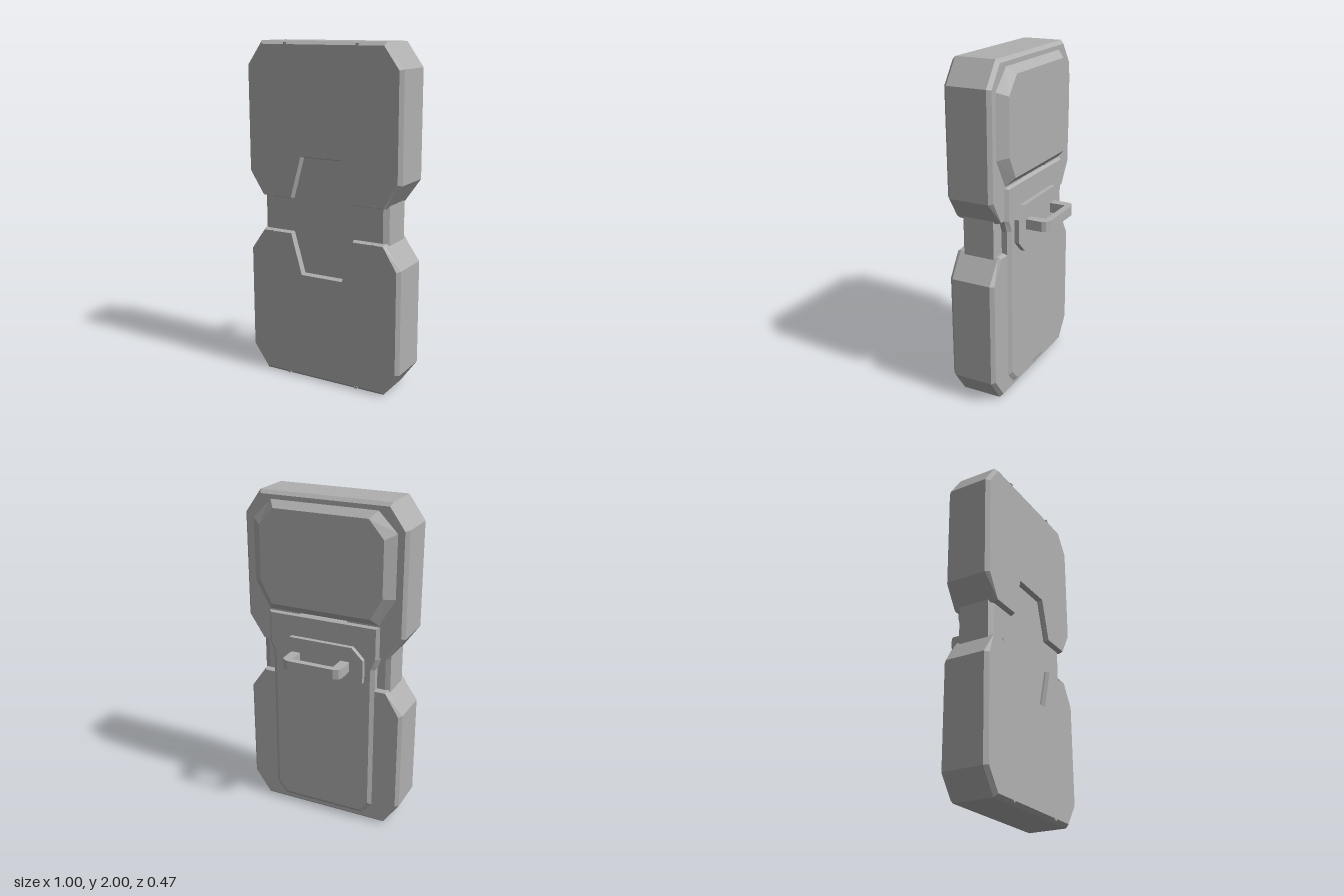
import * as THREE from 'three';

const shell = new THREE.MeshStandardMaterial({ color: 0xb0b0b0 });
shell.name = 'shell grey';

// Right half of an outline, bottom to top, closed by its mirror image
const mirror = (half) => [...half, ...half.map(([x, y]) => [-x, y]).reverse()];

// Chamfered rectangle: half width, bottom, top, corner width, corner height
const octagon = (w, y0, y1, cx, cy = cx) =>
  mirror([[w - cx, y0], [w, y0 + cy], [w, y1 - cy], [w - cx, y1]]);

// Flat-shaded solid through matching outlines, listed as [z, points] from back to front
function loft(name, sections) {
  const pos = [];
  const put = (z, p) => pos.push(p[0], p[1], z);
  for (let s = 0; s < sections.length - 1; s++) {
    const [z0, a] = sections[s], [z1, b] = sections[s + 1];
    a.forEach((p, i) => {
      const j = (i + 1) % a.length;
      put(z0, p); put(z0, a[j]); put(z1, b[j]);
      put(z0, p); put(z1, b[j]); put(z1, b[i]);
    });
  }
  const cap = ([z, pts], back) => {
    const faces = THREE.ShapeUtils.triangulateShape(pts.map((p) => new THREE.Vector2(...p)), []);
    for (const [a, b, c] of faces) (back ? [a, c, b] : [a, b, c]).forEach((i) => put(z, pts[i]));
  };
  cap(sections[0], true);
  cap(sections[sections.length - 1], false);
  const geo = new THREE.BufferGeometry();
  geo.setAttribute('position', new THREE.Float32BufferAttribute(pos, 3));
  geo.computeVertexNormals();
  const mesh = new THREE.Mesh(geo, shell);
  mesh.name = name;
  return mesh;
}

// Bevelled slab with a trapezoid notch in its lower edge
function notchedSlab(name) {
  const full = mirror([[0.13, 0.245], [0.2, 0], [0.4, 0], [0.5, 0.14], [0.5, 0.76], [0.4, 0.9]]);
  const inset = mirror([[0.136, 0.253], [0.206, 0.008], [0.395, 0.008], [0.48, 0.145], [0.48, 0.755], [0.39, 0.88]]);
  const group = new THREE.Group();
  group.name = name;
  group.add(loft(name + 'Body', [[-0.054, inset], [-0.033, full], [0.207, full], [0.229, inset]]));
  // Tiny studs along the front edges
  for (const [x, y] of [[0.335, 0.011], [-0.335, 0.011], [0.23, 0.885], [-0.23, 0.885]]) {
    const stud = new THREE.Mesh(new THREE.BoxGeometry(0.02, 0.012, 0.012), shell);
    stud.position.set(x, y, 0.225);
    stud.name = 'stud';
    group.add(stud);
  }
  return group;
}

export function createModel() {
  const model = new THREE.Group();
  model.name = 'doublePack';

  // Two mirrored slabs facing each other across the waist
  const upper = notchedSlab('upperSlab');
  upper.position.y = 1.1;
  const lower = notchedSlab('lowerSlab');
  lower.rotation.z = Math.PI;
  lower.position.y = 0.9;
  model.add(upper, lower);

  // Core visible at the waist and inside the notches
  const coreWide = octagon(0.41, 0.6, 1.4, 0.02);
  const coreFace = octagon(0.38, 0.6, 1.4, 0.02);
  model.add(loft('core', [[-0.02, coreFace], [-0.012, coreWide], [0.176, coreWide], [0.197, coreFace]]));

  // Raised panel on the upper back
  model.add(loft('upperBackPanel', [
    [-0.101, mirror([[0.31, 1.35], [0.38, 1.48], [0.38, 1.81], [0.29, 1.915]])],
    [-0.05, mirror([[0.35, 1.3], [0.445, 1.47], [0.445, 1.84], [0.33, 1.957]])],
  ]));

  // Long back plate, slightly wider above the waist
  model.add(loft('longBackPlate', [
    [-0.071, mirror([[0.25, 0.065], [0.305, 0.13], [0.305, 1.03], [0.335, 1.1], [0.335, 1.285]])],
    [-0.053, mirror([[0.265, 0.04], [0.33, 0.115], [0.33, 1.03], [0.355, 1.1], [0.355, 1.295]])],
    [0, mirror([[0.265, 0.04], [0.33, 0.115], [0.33, 1.03], [0.355, 1.1], [0.355, 1.295]])],
  ]));

  // Handle base and carrying handle
  const base = octagon(0.27, 0.88, 1.16, 0.07);
  model.add(loft('handleBase', [[-0.1, base], [-0.065, base]]));
  const arch = new THREE.Shape([
    [-0.187, 0.09], [-0.187, 0.2], [-0.175, 0.222], [-0.145, 0.237], [0.145, 0.237], [0.175, 0.222],
    [0.187, 0.2], [0.187, 0.09], [0.13, 0.09], [0.13, 0.198], [-0.13, 0.198], [-0.13, 0.09],
  ].map((p) => new THREE.Vector2(...p)));
  const handle = new THREE.Mesh(new THREE.ExtrudeGeometry(arch, { depth: 0.06, bevelEnabled: false }), shell);
  handle.rotation.x = -Math.PI / 2;
  handle.position.y = 1.01;
  handle.name = 'handle';
  model.add(handle);

  return model;
}
